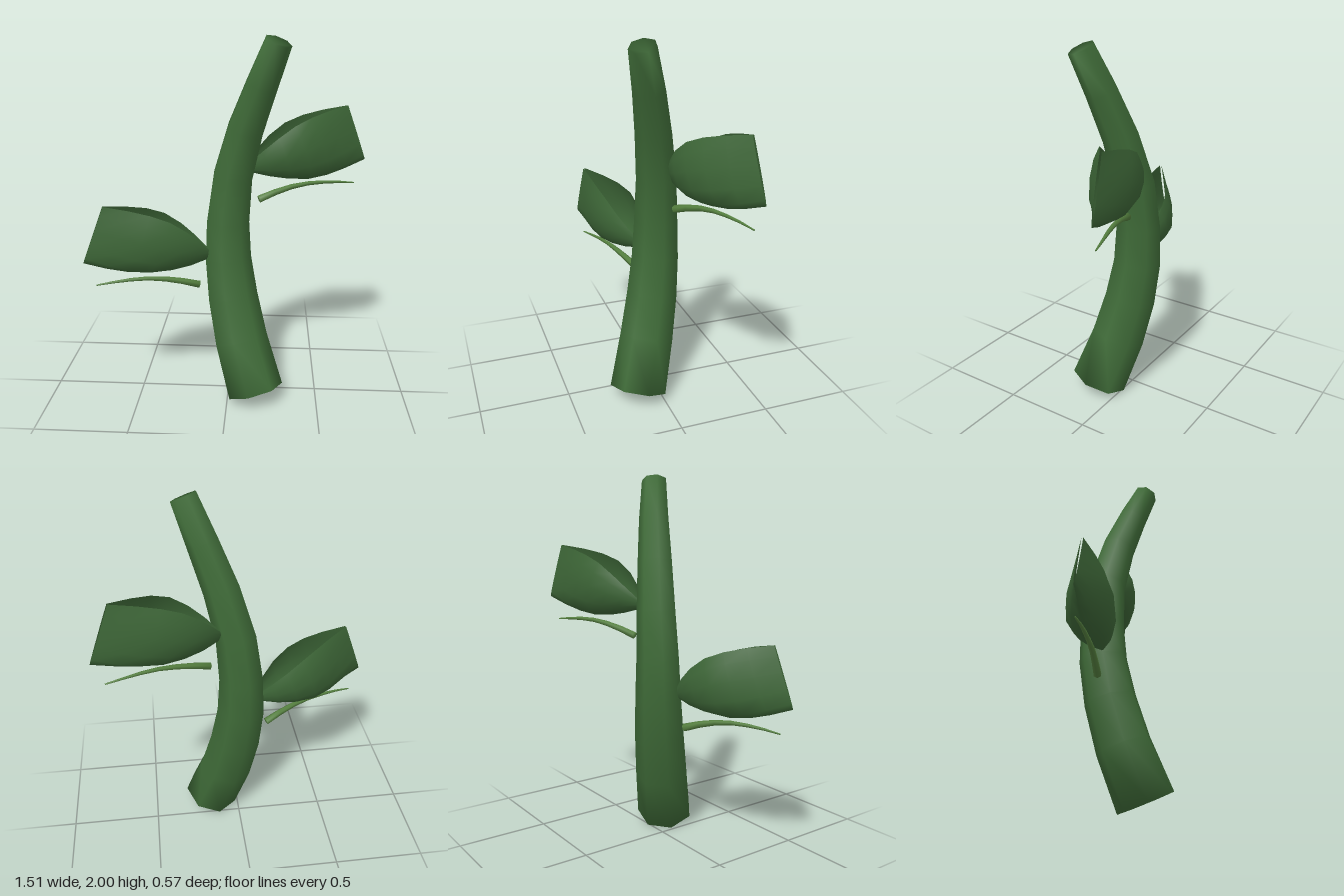
import * as THREE from 'three';

const V = (x, y, z) => new THREE.Vector3(x, y, z);

// Skin a list of equal-length rows; closed rows become a capped, softly shaded tube, open rows a sheet
function loft(rows, closed) {
  const n = rows[0].length, end = (rows.length - 1) * n, pos = [], idx = [];
  rows.forEach(r => r.forEach(p => pos.push(p.x, p.y, p.z)));
  for (let i = 0; i < rows.length - 1; i++) {
    for (let j = 0; j < (closed ? n : n - 1); j++) {
      const a = i * n + j, b = i * n + (j + 1) % n;
      idx.push(a, b, a + n, b, b + n, a + n);
    }
  }
  if (closed) {
    for (let j = 1; j < n - 1; j++) idx.push(0, j + 1, j, end, end + j, end + j + 1);
  }
  const g = new THREE.BufferGeometry();
  g.setAttribute('position', new THREE.Float32BufferAttribute(pos, 3));
  g.setIndex(idx);
  g.computeVertexNormals();
  return g;
}

// Tapered rod: stations are [x, y, z, radius]; each ring stands square to the path
function taperedRod(stations, sides, phase, restAxis) {
  const pts = stations.map(s => V(s[0], s[1], s[2]));
  const last = pts.length - 1;
  const turn = new THREE.Quaternion().setFromUnitVectors(V(0, 1, 0), restAxis);
  return loft(stations.map((s, i) => {
    const t = pts[Math.min(i + 1, last)].clone().sub(pts[Math.max(i - 1, 0)]).normalize();
    const q = new THREE.Quaternion().setFromUnitVectors(restAxis, t);
    return Array.from({ length: sides }, (_, j) => {
      const a = phase + j / sides * Math.PI * 2;
      return V(Math.cos(a) * s[3], 0, -Math.sin(a) * s[3])
        .applyQuaternion(turn).applyQuaternion(q).add(pts[i]);
    });
  }), true);
}

// Folded leaf: a trough open along the top, pointed at the root and pinched shut at the upright end
function leafGeometry() {
  const root = V(0.112, 1.297, -0.075), tip = V(0.697, 1.462, -0.27);
  const t = tip.clone().sub(root).normalize();
  const up = V(-0.11, 0.3, 0.025).normalize();
  const side = up.clone().cross(t).normalize();
  // half of the U-shaped cross-section, from rim to keel, mirrored for the other wall
  const half = [[0.72, 1], [0.92, 0.65], [1, 0.15], [0.9, -0.42], [0.55, -0.83]];
  const profile = [
    ...half.map(([x, y]) => [-x, y]), [0, -1], ...half.slice().reverse(),
  ];
  // position along the leaf, half width, half height, sideways bow
  const sections = [
    [0, 0.014, 0.028, 0], [0.13, 0.073, 0.078, 0.006], [0.28, 0.11, 0.125, 0.012],
    [0.45, 0.12, 0.163, 0.014], [0.62, 0.1, 0.176, 0.01], [0.8, 0.058, 0.174, 0.004],
    [1, 0.006, 0.162, 0],
  ];
  return loft(sections.map(([k, w, h, bow]) => profile.map(([x, y]) => root.clone().lerp(tip, k)
    .addScaledVector(side, x * w - bow).addScaledVector(up, y * h))), false);
}

export function createModel() {
  const model = new THREE.Group();
  const stemGreen = new THREE.MeshStandardMaterial({ color: 0x3f6b38 });
  const leafGreen = new THREE.MeshStandardMaterial({ color: 0x3d6637, side: THREE.DoubleSide });
  const stalkGreen = new THREE.MeshStandardMaterial({ color: 0x55803f });
  stemGreen.name = 'stem green';
  leafGreen.name = 'leaf green';
  stalkGreen.name = 'stalk green';

  const add = (parent, geometry, material, name) => {
    const mesh = new THREE.Mesh(geometry, material);
    mesh.name = name;
    parent.add(mesh);
  };

  // Bowed, tapering stem
  add(model, taperedRod([
    [0.155, 0.06, 0.13, 0.16], [0.07, 0.34, 0.05, 0.151], [0.02, 0.58, 0, 0.142],
    [-0.008, 0.8, -0.028, 0.131], [-0.01, 1.01, -0.033, 0.121], [0.017, 1.26, -0.025, 0.11],
    [0.085, 1.52, 0.015, 0.098], [0.17, 1.755, 0.068, 0.085], [0.251, 1.97, 0.127, 0.071],
  ], 7, 0.04, V(0, 1, 0)), stemGreen, 'stem');

  // Leaf with its thin arched stalk below, repeated half a turn round and lower down
  const leaf = leafGeometry();
  const stalk = taperedRod([
    [0.163, 1.122, -0.075, 0.021], [0.25, 1.153, -0.11, 0.018], [0.34, 1.177, -0.145, 0.015],
    [0.43, 1.19, -0.175, 0.012], [0.52, 1.192, -0.205, 0.01], [0.61, 1.187, -0.235, 0.007],
    [0.695, 1.178, -0.26, 0.004],
  ], 6, 0, V(1, 0, 0));
  for (const name of ['upperLeaf', 'lowerLeaf']) {
    const branch = new THREE.Group();
    branch.name = name;
    add(branch, leaf, leafGreen, 'leafBlade');
    add(branch, stalk, stalkGreen, 'leafStalk');
    if (name === 'lowerLeaf') {
      branch.rotation.y = Math.PI;
      branch.position.set(0, -0.47, -0.05);
    }
    model.add(branch);
  }
  return model;
}
